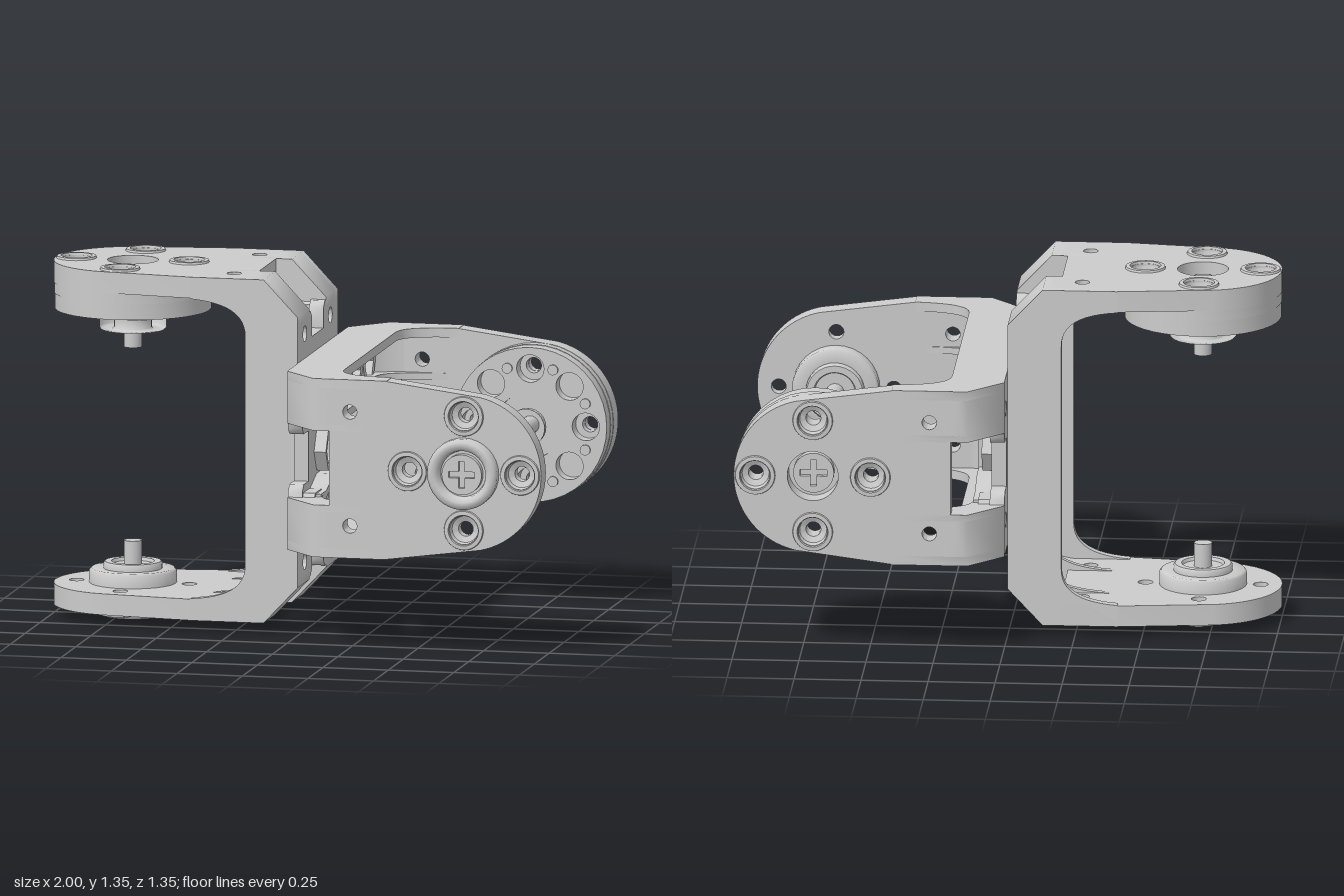
import * as THREE from 'three';
import { toCreasedNormals } from 'three/addons/utils/BufferGeometryUtils.js';

const grey = new THREE.MeshStandardMaterial({ color: 0xcccccc });
grey.name = 'satinGrey';

const W = 0.337;      // half width of the bracket
const OUT = 0.648;    // outer face of the arms
const INN = 0.568;    // inner face of the arms
const PIVOT = 0.705;  // joint axis along the arm

function mesh(name, geo, parent) {
  const m = new THREE.Mesh(toCreasedNormals(geo, 0.9), grey);
  m.name = name;
  parent.add(m);
  return m;
}
const poly = pts => new THREE.Shape(pts.map(p => new THREE.Vector2(p[0], p[1])));
function hole(shape, x, y, r) {
  shape.holes.push(new THREE.Path().absarc(x, y, r, 0, Math.PI * 2, true));
}
const hexPts = r => Array.from({ length: 6 }, (_, i) =>
  new THREE.Vector2(r * Math.cos(i * Math.PI / 3), r * Math.sin(i * Math.PI / 3)));
const extrude = (shape, depth) =>
  new THREE.ExtrudeGeometry(shape, { depth, bevelEnabled: false, curveSegments: 20 });

// Side outline (x, z) pushed across the width from y0 to y1
const acrossY = (shape, y0, y1) => extrude(shape, y1 - y0).rotateX(Math.PI / 2).translate(0, y1, 0);
// Face outline (z, y) pushed from x0 to x1
const acrossX = (shape, x0, x1) => extrude(shape, x1 - x0).rotateY(-Math.PI / 2).translate(x1, 0, 0);
// Turned part: points are (radius, distance outward along the joint axis)
function turned(pts, side) {
  const v = pts.map(p => new THREE.Vector2(p[0], p[1]));
  return new THREE.LatheGeometry(v, 32).rotateX(side * Math.PI / 2);
}

// Inner fillet between web and arm
function fillet(x, z0, xEnd, z1) {
  return new THREE.CubicBezierCurve(
    new THREE.Vector2(xEnd, z1), new THREE.Vector2(x + 0.07, z1 - 0.01),
    new THREE.Vector2(x, z1 - 0.05), new THREE.Vector2(x, z0)).getPoints(12).map(p => [p.x, p.y]);
}

// Arm plate outline with rounded end, corner notch and bolt holes
function armShape(horn) {
  const s = new THREE.Shape();
  const a = 1.36;
  s.moveTo(0.13, -W);
  s.lineTo(0.4, -W);
  s.absarc(PIVOT, 0, 0.295, -a, a, false);
  s.lineTo(0.4, W);
  s.lineTo(0.13, W);
  s.lineTo(0.13, 0.14);
  s.lineTo(0.19, 0.14);
  s.lineTo(0.19, -0.14);
  s.lineTo(0.13, -0.14);
  for (let i = 0; i < 4; i++) {
    const t = i * Math.PI / 2;
    hole(s, PIVOT + 0.215 * Math.cos(t), 0.215 * Math.sin(t), 0.054);
  }
  for (const y of [-0.215, 0.215]) hole(s, 0.27, y, 0.027);
  if (horn) hole(s, PIVOT, 0, 0.095);
  return s;
}

// Screw head with a cross recess
function crossHead(name, z, side, parent) {
  const s = new THREE.Shape().absarc(0, 0, 0.076, 0, Math.PI * 2, false);
  const a = 0.05, b = 0.012;
  s.holes.push(new THREE.Path([[a, b], [b, b], [b, a], [-b, a], [-b, b], [-a, b], [-a, -b], [-b, -b],
    [-b, -a], [b, -a], [b, -b], [a, -b]].map(p => new THREE.Vector2(p[0], p[1]))));
  const h = mesh(name, extrude(s, 0.02), parent);
  h.position.set(PIVOT, 0, side > 0 ? z : -z - 0.02);
  const core = mesh(name + 'Core', new THREE.CylinderGeometry(0.076, 0.076, 0.02, 24).rotateX(Math.PI / 2), parent);
  core.position.set(PIVOT, 0, side * (z - 0.01));
}

function bracket(name) {
  const g = new THREE.Group();
  g.name = name;

  // Web plate with nut holes, centre window and notches for the corner windows
  const web = poly([[-0.5, -W], [0.5, -W], [0.5, -0.12], [0.475, -0.095], [0.4, -0.095], [0.4, 0.095],
    [0.475, 0.095], [0.5, 0.12], [0.5, W], [-0.5, W], [-0.5, 0.12], [-0.475, 0.095], [-0.4, 0.095],
    [-0.4, -0.095], [-0.475, -0.095], [-0.5, -0.12]]);
  web.holes.push(new THREE.Path([[-0.15, -0.085], [-0.15, 0.085], [0.15, 0.085], [0.15, -0.085]]
    .map(p => new THREE.Vector2(p[0], p[1]))));
  const nuts = [];
  for (let i = -2; i <= 2; i++) {
    for (const y of [-0.215, 0.215]) nuts.push([i * 0.215, y]);
    if (Math.abs(i) === 1) nuts.push([i * 0.215, 0]);
  }
  nuts.forEach(n => hole(web, n[0], n[1], 0.03));
  mesh('webPlate', acrossX(web, 0, 0.055), g);

  // Hexagonal nut pockets
  for (const [z, y] of nuts) {
    const s = new THREE.Shape(hexPts(y ? 0.104 : 0.088));
    s.holes.push(new THREE.Path(hexPts(0.068).reverse()));
    mesh('nutPocket', acrossX(s, 0.05, 0.1), g).position.set(0, y, z);
    const seat = new THREE.Shape(hexPts(0.07));
    hole(seat, 0, 0, 0.03);
    mesh('nutSeat', acrossX(seat, 0.05, 0.065), g).position.set(0, y, z);
  }

  // Frame posts beside the centre window
  for (const z of [-0.16, 0.16]) {
    mesh('windowPost', new THREE.BoxGeometry(0.12, 0.2, 0.02), g).position.set(0.06, 0, z);
  }

  // Raised edge rims following the whole U
  const half = [[0, 0.51], [0.13, OUT], [0.41, OUT], ...fillet(0.2, 0.43, 0.41, 0.566)];
  const rim = poly([...half, ...half.slice().reverse().map(p => [p[0], -p[1]])]);
  // Corner floor and corner rib beside the corner window
  const floor = [[0, 0.468], [0, 0.51], [0.13, OUT], [0.2, OUT], ...fillet(0.055, 0.468, 0.2, INN)];
  const rib = [[0, 0.44], [0, 0.51], [0.13, OUT], [0.37, OUT], ...fillet(0.12, 0.44, 0.37, INN)];

  for (const m of [-1, 1]) {
    const span = (a, b) => m > 0 ? [a, b] : [-b, -a];
    mesh('edgeRim', acrossY(rim, ...span(W - 0.035, W)), g);

    // Bent long ribs between the nut rows
    const lo = [[-0.47, 0.13], [-0.38, 0.13], [-0.26, 0.088], [0.26, 0.088], [0.38, 0.13], [0.47, 0.13]];
    const hi = lo.slice().reverse().map(p => [p[0], p[1] + 0.028]);
    mesh('longRib', acrossX(poly([...lo, ...hi].map(p => [p[0], p[1] * m])), 0.05, 0.12), g);

    for (const s of [-1, 1]) {
      const flip = pts => poly(pts.map(p => [p[0], p[1] * s]));
      mesh('cornerPlate', acrossY(flip(floor), ...span(0.14, W)), g);
      mesh('cornerRib', acrossY(flip(rib), ...span(0.14, 0.165)), g);
    }
  }

  for (const side of [-1, 1]) {
    const horn = side < 0;
    // Arm plate
    mesh(horn ? 'hornArm' : 'idlerArm', extrude(armShape(horn), OUT - INN), g).position.z = horn ? -OUT : INN;

    // Bolt bushings around the joint
    const ring = [[0.028, INN], [0.058, INN], [0.058, OUT - 0.002], [0.076, OUT - 0.002], [0.073, OUT + 0.008],
      [0.058, OUT + 0.009], [0.05, OUT - 0.025], [0.028, OUT - 0.035], [0.028, INN]];
    for (let i = 0; i < 4; i++) {
      const t = i * Math.PI / 2;
      mesh('boltBushing', turned(ring, side), g)
        .position.set(PIVOT + 0.215 * Math.cos(t), 0.215 * Math.sin(t), 0);
    }
  }

  // Drive horn: pocketed disc with small screws, hub, spindle
  const disc = new THREE.Shape().absarc(0, 0, 0.292, 0, Math.PI * 2, false);
  const back = new THREE.Shape().absarc(0, 0, 0.294, 0, Math.PI * 2, false);
  for (let i = 0; i < 8; i++) {
    const t = i * Math.PI / 4, u = t + Math.PI / 8;
    hole(disc, 0.212 * Math.cos(t), 0.212 * Math.sin(t), 0.052);
    if (i % 2 === 0) hole(back, 0.215 * Math.cos(t), 0.215 * Math.sin(t), 0.029);
    mesh('hornScrew', new THREE.CylinderGeometry(0.02, 0.02, 0.03, 12).rotateX(Math.PI / 2), g)
      .position.set(PIVOT + 0.228 * Math.cos(u), 0.228 * Math.sin(u), -0.474);
  }
  mesh('hornDisc', extrude(disc, 0.06), g).position.set(PIVOT, 0, -0.528);
  mesh('hornBack', extrude(back, 0.042), g).position.set(PIVOT, 0, -0.57);
  mesh('hornHub', turned([[0.07, 0.43], [0.07, 0.395], [0.078, 0.388], [0.118, 0.388], [0.125, 0.395],
    [0.125, 0.47], [0.15, 0.472], [0.15, 0.5], [0, 0.5], [0, 0.43], [0.07, 0.43]].reverse(), -1)
    .scale(1, 1, 1), g).position.x = PIVOT;
  mesh('hornSpindle', new THREE.CylinderGeometry(0.034, 0.034, 0.2, 20).rotateX(Math.PI / 2), g)
    .position.set(PIVOT, 0, -0.42);
  crossHead('hornScrewHead', 0.585, -1, g);

  // Idler: outer cap, inner flange, spindle
  mesh('idlerCap', turned([[0.134, 0.64], [0.134, 0.675], [0.122, 0.69], [0.105, 0.69], [0.09, 0.678],
    [0.086, 0.655], [0, 0.655]], 1), g).position.x = PIVOT;
  crossHead('idlerScrewHead', 0.665, 1, g);
  mesh('idlerFlange', turned([[0, 0.5], [0.075, 0.5], [0.08, 0.488], [0.105, 0.488], [0.11, 0.495], [0.11, 0.515],
    [0.155, 0.513], [0.163, 0.522], [0.163, 0.575]], 1), g).position.x = PIVOT;
  mesh('idlerSpindle', new THREE.CylinderGeometry(0.034, 0.034, 0.12, 20).rotateX(Math.PI / 2), g)
    .position.set(PIVOT, 0, 0.47);
  return g;
}

export function createModel() {
  const model = new THREE.Group();
  model.name = 'jointBrackets';

  // Horizontal fork opening to +x
  const a = bracket('sideFork');
  a.position.set(0, 0.69, -0.013);
  model.add(a);

  // Upright fork opening to -x, turned a quarter about the shared axis
  const b = bracket('uprightFork');
  b.quaternion.setFromRotationMatrix(new THREE.Matrix4().makeBasis(
    new THREE.Vector3(-1, 0, 0), new THREE.Vector3(0, 0, -1), new THREE.Vector3(0, -1, 0)));
  b.position.set(0, 0.69, -0.013);
  model.add(b);
  return model;
}
